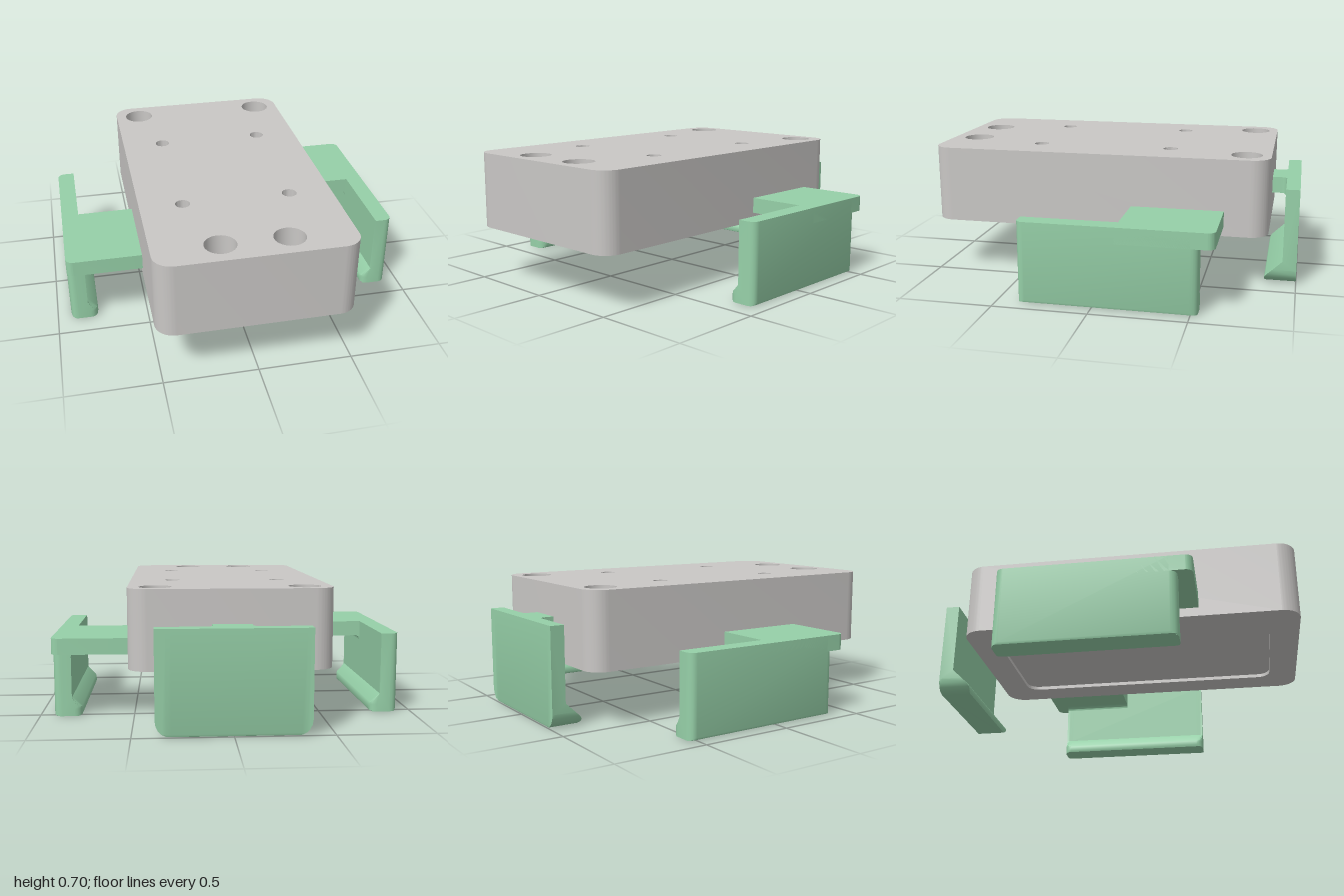
import * as THREE from 'three';
import { toCreasedNormals } from 'three/addons/utils/BufferGeometryUtils.js';

const grey = new THREE.MeshStandardMaterial({ color: 0xc9c7c5 });
grey.name = 'bodyGrey';
const green = new THREE.MeshStandardMaterial({ color: 0x96d0a8 });
green.name = 'clipGreen';

function mesh(geo, mat, name, parent) {
  const m = new THREE.Mesh(toCreasedNormals(geo, 0.6), mat);
  m.name = name;
  parent.add(m);
  return m;
}

function roundedRect(x0, y0, x1, y1, r) {
  const s = new THREE.Shape();
  s.absarc(x1 - r, y1 - r, r, 0, Math.PI / 2);
  s.absarc(x0 + r, y1 - r, r, Math.PI / 2, Math.PI);
  s.absarc(x0 + r, y0 + r, r, Math.PI, Math.PI * 1.5);
  s.absarc(x1 - r, y0 + r, r, Math.PI * 1.5, Math.PI * 2);
  s.closePath();
  return s;
}

// Flat face from a plan outline drawn in (x, z), facing down or up
function cap(shape, y, up) {
  const g = new THREE.ShapeGeometry(shape, 12).rotateX(Math.PI / 2);
  if (up) g.index.array.reverse();
  return g.translate(0, y, 0);
}

// Upright wall along a plan outline; inward for a recess
function wall(shape, y0, y1, inward) {
  const pts = shape.getPoints(12);
  const pos = [];
  pts.forEach((a, i) => {
    const b = pts[(i + 1) % pts.length];
    const quad = [[a, y0], [a, y1], [b, y1], [a, y0], [b, y1], [b, y0]];
    if (inward) quad.reverse();
    quad.forEach(([p, y]) => pos.push(p.x, y, p.y));
  });
  const g = new THREE.BufferGeometry();
  g.setAttribute('position', new THREE.Float32BufferAttribute(pos, 3));
  g.computeVertexNormals();
  return g;
}

// Plate from a plan outline, hanging down from its top height
function plate(shape, top, thickness) {
  return new THREE.ExtrudeGeometry(shape, { depth: thickness, bevelEnabled: false, curveSegments: 10 })
    .rotateX(Math.PI / 2).translate(0, top, 0);
}

// Hook profile extruded along z, with rounded ends; rule(point, inset) trims the ends
function hookWall(profile, z0, z1, r, rule) {
  const shape = new THREE.Shape(profile.map(([x, y]) => new THREE.Vector2(x, y)));
  const n = 6;
  const g = new THREE.ExtrudeGeometry(shape, { depth: 2 * n - 1, steps: 2 * n - 1, bevelEnabled: false });
  const pos = g.attributes.position;
  const p = new THREE.Vector3();
  for (let i = 0; i < pos.count; i++) {
    p.fromBufferAttribute(pos, i);
    const level = Math.round(p.z);
    const k = level < n ? level : 2 * n - 1 - level;
    const t = (k / (n - 1)) * Math.PI / 2;
    const d = r * (1 - Math.cos(t));
    p.z = level < n ? z0 + d : z1 - d;
    rule(p, r * (1 - Math.sin(t)));
    pos.setXYZ(i, p.x, p.y, p.z);
  }
  g.computeVertexNormals();
  return g;
}

// Concave fillet strip in the corner under a plate
function fillet(x, y, r, z0, z1) {
  const s = new THREE.Shape();
  s.moveTo(x, y);
  s.lineTo(x - r, y);
  s.absarc(x - r, y - r, r, Math.PI / 2, 0, true);
  s.closePath();
  return new THREE.ExtrudeGeometry(s, { depth: z1 - z0, bevelEnabled: false }).translate(0, 0, z0);
}

function buildBody() {
  const body = new THREE.Group();
  body.name = 'body';
  const y0 = 0.295, y1 = 0.705;
  const outline = () => roundedRect(-0.52, -0.845, 0.52, 1, 0.1);
  const recess = roundedRect(-0.36, -0.685, 0.36, 0.84, 0.07);

  // Holes: stepped screw holes near the corners, small blind holes between
  const top = outline();
  const holes = [];
  for (const s of [-1, 1]) {
    holes.push([s * 0.38, -0.715, true], [s * 0.175, 0.86, true]);
    holes.push([s * 0.29, -0.295, false], [s * 0.29, 0.44, false]);
  }
  const screw = [[0.083, 0], [0.083, -0.2], [0.052, -0.2], [0.04, -0.215], [0.04, -0.34], [0, -0.34]];
  const small = [[0.04, 0], [0.04, -0.2], [0, -0.2]];
  for (const [x, z, big] of holes) {
    const path = new THREE.Path();
    path.absarc(x, z, big ? 0.083 : 0.04, 0, Math.PI * 2, true);
    top.holes.push(path);
    const pts = (big ? screw : small).map(([r, y]) => new THREE.Vector2(r, y));
    const hole = mesh(new THREE.LatheGeometry(pts, 24), grey, big ? 'screwHole' : 'smallHole', body);
    hole.position.set(x, y1, z);
  }
  mesh(cap(top, y1, true), grey, 'bodyTop', body);
  mesh(wall(outline(), y0, y1, false), grey, 'bodySides', body);

  // Underside with a shallow recess
  const rim = outline();
  rim.holes.push(new THREE.Path(recess.getPoints(12)));
  mesh(cap(rim, y0, false), grey, 'bodyUnderside', body);
  mesh(wall(recess, y0, y0 + 0.02, true), grey, 'recessWall', body);
  mesh(cap(recess, y0 + 0.02, false), grey, 'recessFloor', body);
  return body;
}

function buildSideClip(name) {
  const clip = new THREE.Group();
  clip.name = name;
  const profile = [[0.79, 0], [0.91, 0], [0.921, 0.004], [0.925, 0.015], [0.925, 0.43], [0.83, 0.43],
    [0.83, 0.1], [0.78, 0.05], [0.775, 0.038], [0.775, 0.015], [0.779, 0.004]];
  const trim = (p, inset) => { p.x = THREE.MathUtils.clamp(p.x, 0.775 + inset, 0.925 - inset); };
  mesh(hookWall(profile, -0.535, 0.39, 0.04, trim), green, 'clipHook', clip);

  const s = new THREE.Shape();
  s.moveTo(0.51, -0.615);
  s.lineTo(0.885, -0.615);
  s.absarc(0.885, -0.575, 0.04, -Math.PI / 2, 0);
  s.lineTo(0.925, -0.12);
  s.lineTo(0.51, -0.12);
  mesh(plate(s, 0.43, 0.085), green, 'clipArm', clip);
  mesh(fillet(0.83, 0.345, 0.025, -0.535, -0.12), green, 'clipFillet', clip);
  return clip;
}

function buildBackClip() {
  const clip = new THREE.Group();
  clip.name = 'backClip';
  const profile = [[0.845, 0], [0.985, 0], [0.996, 0.004], [1, 0.015], [1, 0.53], [0.925, 0.53],
    [0.925, 0.13], [0.835, 0.045], [0.83, 0.035], [0.83, 0.015], [0.834, 0.004]];
  // Rounded lower corners that keep the slope of the hook
  const trim = (p, inset) => {
    p.y = Math.max(p.y, inset);
    if (p.y < 0.13) p.x = Math.max(p.x, 0.925 - (0.13 - p.y) * 1.06);
  };
  mesh(hookWall(profile, -0.385, 0.385, 0.08, trim).rotateY(Math.PI / 2), green, 'clipHook', clip);

  // Tab to the body, flaring into the hook
  const r = 0.03;
  const s = new THREE.Shape();
  s.moveTo(0.1, -0.835);
  s.lineTo(-0.1, -0.835);
  s.lineTo(-0.1, -0.925 + r);
  s.absarc(-0.1 - r, -0.925 + r, r, 0, -Math.PI / 2, true);
  s.lineTo(0.1 + r, -0.925);
  s.absarc(0.1 + r, -0.925 + r, r, -Math.PI / 2, -Math.PI, true);
  s.closePath();
  mesh(plate(s, 0.53, 0.09), green, 'clipArm', clip);
  mesh(fillet(0.925, 0.44, 0.025, -0.1, 0.1).rotateY(Math.PI / 2), green, 'clipFillet', clip);
  return clip;
}

export function createModel() {
  const model = new THREE.Group();
  model.name = 'clipMount';
  model.add(buildBody(), buildBackClip(), buildSideClip('leftClip'));
  // The other side clip is the same part turned half round
  const right = buildSideClip('rightClip');
  right.rotation.y = Math.PI;
  right.position.z = -0.15;
  model.add(right);
  return model;
}
